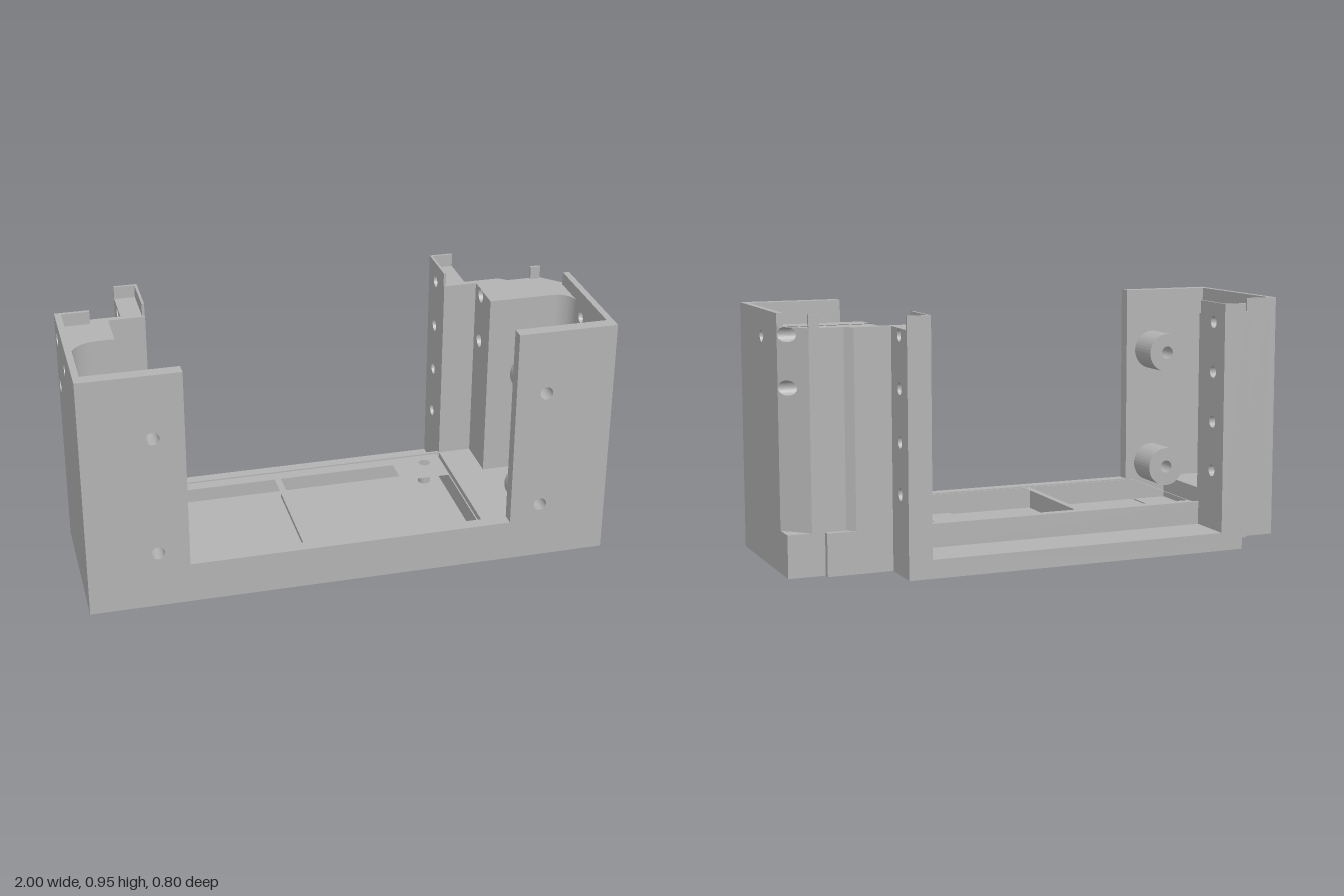
import * as THREE from 'three';

const grey = new THREE.MeshStandardMaterial({ color: 0xb2b2b2 });
grey.name = 'grey plastic';

const LEDGE = 0.9, TOP = 0.95, FLOOR = 0.16, SLAB = 0.07;
const FOUR = [0.3, 0.49, 0.683, 0.875], TWO = [0.683, 0.875];

export function createModel() {
  const model = new THREE.Group();
  model.name = 'uShapedHousing';

  const add = (name, geometry) => {
    const mesh = new THREE.Mesh(geometry, grey);
    mesh.name = name;
    model.add(mesh);
    return mesh;
  };
  const box = (name, x0, x1, y0, y1, z0, z1) =>
    add(name, new THREE.BoxGeometry(x1 - x0, y1 - y0, z1 - z0)
      .translate((x0 + x1) / 2, (y0 + y1) / 2, (z0 + z1) / 2));
  const poly = (pts) => new THREE.Shape(pts.map(([a, b]) => new THREE.Vector2(a, b)));
  const rect = (a0, a1, b0, b1) => [[a0, b0], [a1, b0], [a1, b1], [a0, b1]];
  const circle = (a, b, r) => new THREE.Path().absarc(a, b, r, 0, Math.PI * 2, true);
  const extrude = (shape, depth) =>
    new THREE.ExtrudeGeometry(shape, { depth, bevelEnabled: false, curveSegments: 20 });

  // Plan outline in (x, z), raised from y0 to y1
  const flip = (pts) => pts.map(([x, z]) => [x, -z]);
  const plan = (name, pts, y0, y1, holes = []) => {
    const shape = poly(flip(pts));
    holes.forEach((h) => shape.holes.push(h instanceof THREE.Path ? h : poly(flip(h))));
    return add(name, extrude(shape, y1 - y0).rotateX(-Math.PI / 2).translate(0, y0, 0));
  };

  // Side rectangle in (z, y) with round holes [z, y, r], running from x0 to x1
  const side = (name, x0, x1, y0, y1, z0, z1, holes) => {
    const shape = poly(rect(-z1, -z0, y0, y1));
    holes.forEach(([z, y, r]) => shape.holes.push(circle(-z, y, r)));
    return add(name, extrude(shape, x1 - x0).rotateY(Math.PI / 2).translate(x0, 0, 0));
  };

  // Base slab with two narrow through slits
  plan('baseSlab', [
    [-1, 0.4], [1, 0.4], [1, -0.2], [0.86, -0.2], [0.86, -0.225], [0.61, -0.225],
    [0.61, -0.4], [-0.75, -0.4], [-0.75, -0.225], [-0.87, -0.225], [-0.87, -0.2], [-1, -0.2],
  ], 0, SLAB, [rect(-0.66, -0.65, -0.2, 0.35), rect(0.51, 0.52, -0.2, 0.35)]);

  // Middle deck with two pockets, the right one leaving a raised pad with a screw hole
  plan('deck', rect(-0.65, 0.51, -0.21, 0.35), SLAB, 0.155, [
    rect(-0.645, -0.18, -0.15, 0.345),
    [[-0.155, -0.15], [0.31, -0.15], [0.31, -0.02], [0.505, -0.02], [0.505, 0.345], [-0.155, 0.345]],
    circle(0.44, 0.14, 0.023),
  ]);
  box('deckBackLip', -0.66, 0.52, SLAB, FLOOR, -0.212, -0.2);

  // Floors of the two towers
  plan('leftTowerFloor', [[0.52, 0.35], [1, 0.35], [1, -0.2], [0.86, -0.2], [0.86, -0.225], [0.52, -0.225]],
    SLAB, FLOOR);
  box('rightTowerFloor', -1, -0.8, SLAB, FLOOR, -0.2, 0.35);

  // U-shaped front wall with four screw holes
  const front = poly([[-1, 0], [1, 0], [1, TOP], [0.62, TOP], [0.62, FLOOR],
    [-0.62, FLOOR], [-0.62, TOP], [-1, TOP]]);
  for (const x of [-0.737, 0.737]) {
    for (const y of [0.225, 0.7]) {
      front.holes.push(circle(x, y, 0.025));
      // Hollow standoff behind each screw hole
      const ring = new THREE.Shape().absarc(x, y, 0.078, 0, Math.PI * 2, false);
      ring.holes.push(circle(x, y, 0.025));
      add('standoff', extrude(ring, 0.14).translate(0, 0, 0.21));
    }
  }
  add('frontWall', extrude(front, 0.05).translate(0, 0, 0.35));

  // Rear flanges with a row of holes, and raised rims on their inner and back edges
  for (const [name, x0, x1, inner] of [['left', 0.52, 0.61, 0.52], ['right', -0.75, -0.66, -0.67]]) {
    side(name + 'Flange', x0, x1, SLAB, LEDGE, -0.4, -0.21, FOUR.map((y) => [-0.313, y, 0.023]));
    box(name + 'FlangeBackRim', x0, x1, LEDGE, TOP, -0.4, -0.39);
    box(name + 'FlangeInnerRim', inner, inner + 0.01, LEDGE, TOP, -0.4, -0.21);
  }

  // Rear walls joining flange and column
  plan('leftRearWall', [[0.52, -0.2], [0.78, -0.2], [0.75, -0.225], [0.52, -0.225]], FLOOR, LEDGE);
  box('rightRearWall', -0.87, -0.66, SLAB, LEDGE, -0.225, -0.2);

  // Outer side walls with one hole each
  side('leftSideWall', 0.975, 1, FLOOR, TOP, -0.02, 0.35, [[0.1, 0.85, 0.023]]);
  side('rightSideWall', -1, -0.975, FLOOR, TOP, -0.03, 0.35, [[0.078, 0.85, 0.023]]);

  // Right column, drilled from the inside and partly through the outer skin
  const drilled = (ys) => ys.map((y) => [-0.137, y, 0.0275]);
  side('rightColumn', -0.975, -0.8, FLOOR, LEDGE, -0.2, -0.03, drilled(FOUR));
  side('rightColumnSkin', -1, -0.975, FLOOR, LEDGE, -0.2, -0.03, drilled(TWO));
  box('rightColumnSideRim', -1, -0.975, LEDGE, TOP, -0.2, -0.03);
  box('rightColumnBackRim', -0.975, -0.87, LEDGE, TOP, -0.2, -0.185);

  // Left column with its outer rear corner cut at 45 degrees
  const crease = -0.109;
  box('leftColumn', 0.65, 1, FLOOR, LEDGE, crease, -0.02);
  const cut = side('leftColumnChamfer', 0.65, 1, FLOOR, LEDGE, -0.2, crease, drilled(TWO)).geometry;
  const p = cut.attributes.position;
  for (let i = 0; i < p.count; i++) p.setX(i, Math.min(p.getX(i), 1 + p.getZ(i) - crease));
  cut.computeVertexNormals();
  box('leftColumnSideRim', 0.975, 1, LEDGE, TOP, crease, -0.02);
  box('leftColumnBackRim', 0.87, 0.909, LEDGE, TOP, -0.2, -0.188);

  // Concave fillets between columns and side walls
  const fillet = (name, x, z, r, s) => {
    const pts = [[x, z]];
    for (let i = 0; i <= 12; i++) {
      const a = (i / 12) * Math.PI / 2;
      pts.push([x - s * r * (1 - Math.sin(a)), z + r * (1 - Math.cos(a))]);
    }
    plan(name, pts, FLOOR, LEDGE);
  };
  fillet('leftFillet', 0.975, -0.02, 0.07, 1);
  fillet('rightFillet', -0.975, -0.03, 0.11, -1);

  // Small screw pad and step on the tower floors
  plan('screwPad', rect(-0.975, -0.84, -0.03, 0.11), FLOOR, 0.2, [circle(-0.89, -0.055, 0.023)]);
  box('floorStep', 0.89, 0.975, FLOOR, 0.2, 0.06, 0.35);

  return model;
}
